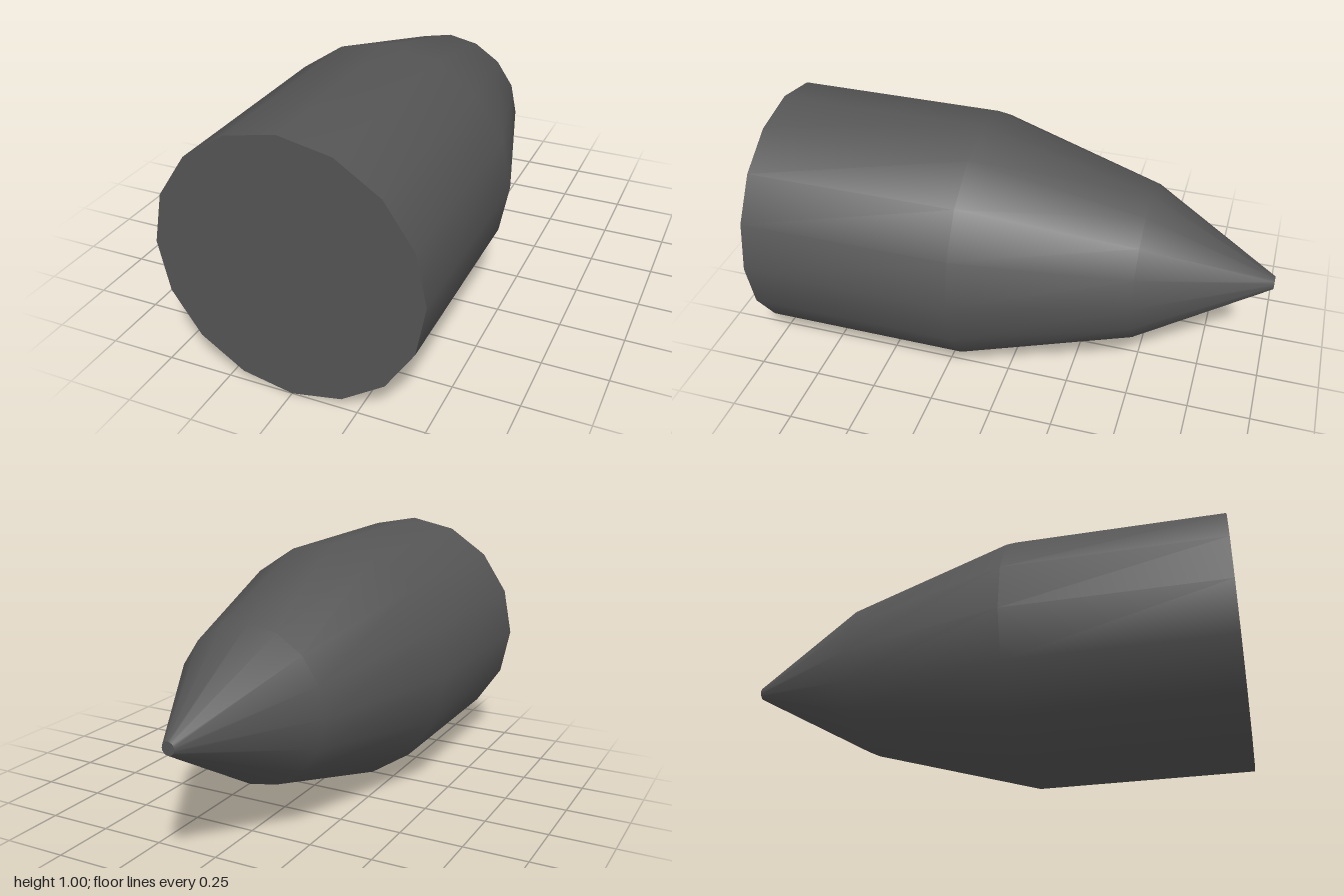
import * as THREE from 'three';

const SIDES = 16;

export function createModel() {
  const model = new THREE.Group();
  const material = new THREE.MeshStandardMaterial({ color: 0x555555 });

  const add = (name, geometry, z = 0) => {
    const mesh = new THREE.Mesh(geometry, material);
    mesh.name = name;
    mesh.position.set(0, 0.5, z);
    model.add(mesh);
    return mesh;
  };

  // Shell: straight cylinder, shoulder taper, then pointed nose towards -z
  const profile = [[0.5, -1], [0.5, -0.165], [0.31, 0.5], [0.025, 1]]
    .map(([r, y]) => new THREE.Vector2(r, y));
  add('shell', new THREE.LatheGeometry(profile, SIDES).rotateX(-Math.PI / 2));

  // Flat base facing the front
  add('base', new THREE.CircleGeometry(0.5, SIDES), 1);

  // Small blunt tip facing the back
  add('tip', new THREE.CircleGeometry(0.025, SIDES).rotateY(Math.PI), -1);

  return model;
}
